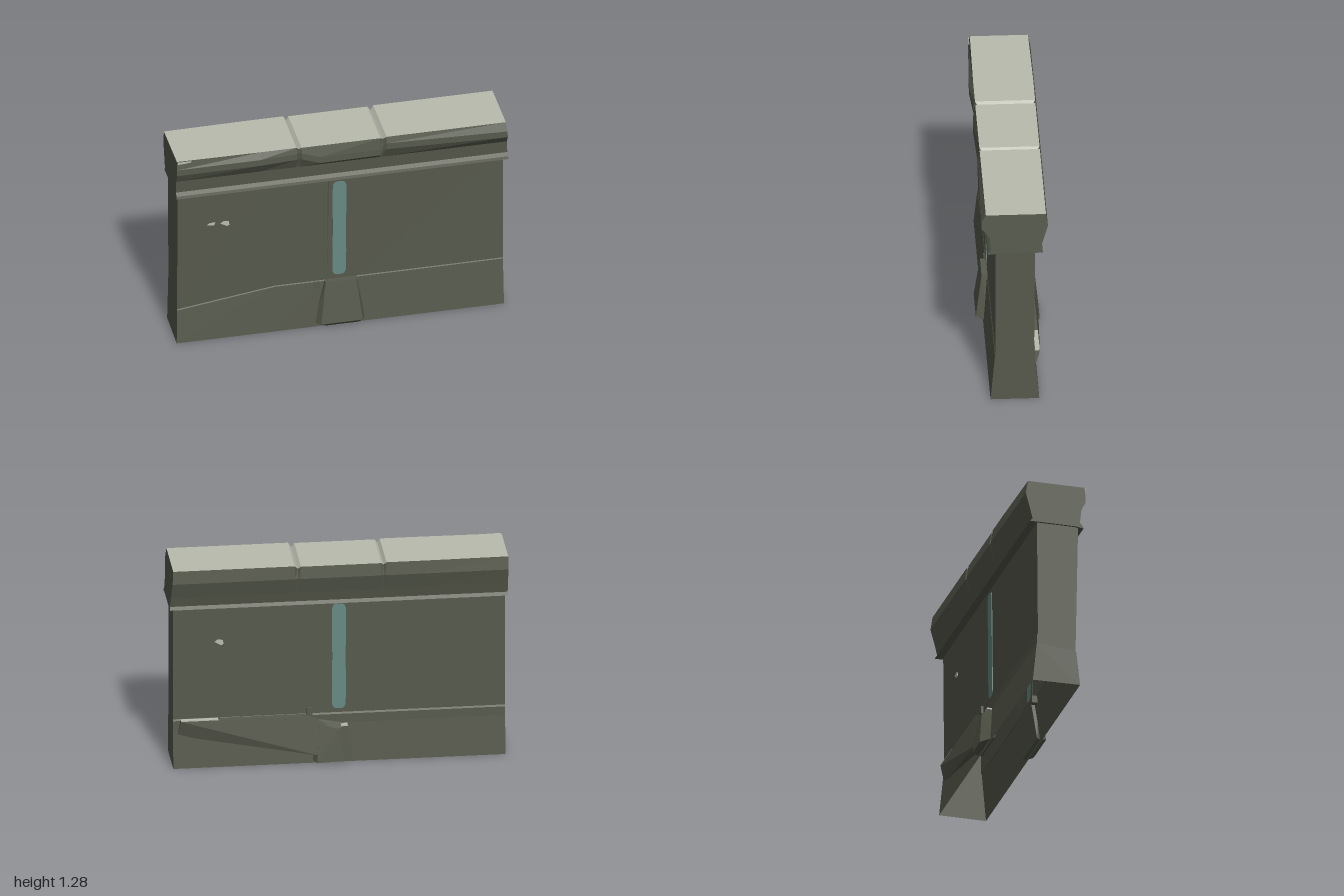
import * as THREE from 'three';
import { ConvexGeometry } from 'three/addons/geometries/ConvexGeometry.js';

const material = (name, color) => {
  const m = new THREE.MeshStandardMaterial({ color, flatShading: true, side: THREE.DoubleSide });
  m.name = name;
  return m;
};
const stone = material('darkStone', 0x575a4d);
const pale = material('paleStone', 0xbabcaf);
const glow = material('dullTealGlass', 0x688c83);

// Skins cross-sections { x, p: [[z, y, shift], ...] }, listed up the front and down the back.
// The strip after point paleEdge takes the second material; the one after openEdge is left out.
function loft(sections, { paleEdge = -1, openEdge = -1 }) {
  const pos = [];
  const g = new THREE.BufferGeometry();
  const put = (s, i) => pos.push(s.x + (s.p[i][2] || 0), s.p[i][1], s.p[i][0]);
  const n = sections[0].p.length;
  for (let i = 0; i < n; i++) {
    if (i === openEdge) continue;
    const j = (i + 1) % n, start = pos.length / 3;
    for (let k = 0; k < sections.length - 1; k++) {
      const a = sections[k], b = sections[k + 1];
      put(a, i); put(b, i); put(b, j);
      put(a, i); put(b, j); put(a, j);
    }
    g.addGroup(start, pos.length / 3 - start, i === paleEdge ? 1 : 0);
  }
  const capStart = pos.length / 3;
  const cap = (s, facesLeft) => {
    const pts = s.p.map(q => new THREE.Vector2(q[0], q[1]));
    for (const [a, b, c] of THREE.ShapeUtils.triangulateShape(pts, [])) {
      const ccw = THREE.ShapeUtils.area([pts[a], pts[b], pts[c]]) > 0;
      (ccw !== facesLeft ? [a, b, c] : [a, c, b]).forEach(i => put(s, i));
    }
  };
  cap(sections[0], false);
  cap(sections[sections.length - 1], true);
  g.addGroup(capStart, pos.length / 3 - capStart, 0);
  g.setAttribute('position', new THREE.Float32BufferAttribute(pos, 3));
  g.computeVertexNormals();
  return g;
}

const hull = pts => new ConvexGeometry(pts.map(p => new THREE.Vector3(...p)));

// Thin plate from an outline of [x, y] points
function plate(points, depth = 0.004) {
  const shape = new THREE.Shape(points.map(p => new THREE.Vector2(...p)));
  const g = new THREE.ExtrudeGeometry(shape, { depth, bevelEnabled: false });
  return g.translate(0, 0, -depth / 2);
}

export function createModel() {
  const model = new THREE.Group();
  model.name = 'stoneWall';
  const add = (name, geometry, mat = stone, at = [0, 0, 0]) => {
    const mesh = new THREE.Mesh(geometry, mat);
    mesh.name = name;
    mesh.position.set(...at);
    model.add(mesh);
    return mesh;
  };

  // Hollow wall, open below, with flared foot; the front steps back right of the seam
  const wall = (x, top, mid, ledge = 0.302) => ({
    x,
    p: [[0.142, 0, x < -0.9 ? -0.008 : 0], [mid + 0.004, ledge - 0.006], [mid, ledge], [top, 1.04],
      [-0.12, 1.04], [-0.114, 0.304], [-0.12, 0.294], [-0.121, 0.24], [-0.145, 0]],
  });
  add('wall', loft([
    wall(-0.988, 0.132, 0.116, 0.22), wall(-0.4, 0.137, 0.116), wall(-0.085, 0.14, 0.117),
    wall(-0.075, 0.127, 0.114), wall(0.1, 0.127, 0.114), wall(0.975, 0.112, 0.112),
  ], { openEdge: 8 }), [stone, pale]);

  // Overhanging coping with a pale top, pinched at two joints
  const coping = (x, drop, inset, brow = 0.19, reach = 0.195) => ({
    x,
    p: [[0.11, 1.022], [0.162, 1.014], [0.156, 1.03], [0.14, 1.05], [0.148, 1.13],
      [reach - inset, brow], [reach - inset, brow + 0.04], [0.17 - inset, 1.278 - drop],
      [-0.184 + inset, 1.278 - drop], [-0.195 + inset * 0.5, 1.2], [-0.165, 1.1],
      [-0.15, 1.04], [-0.165, 1.022], [-0.11, 1.022]].map(
      ([z, y]) => [z, y, x > 0.9 ? Math.max(0, 1.278 - y) * 0.07 : 0]),
  });
  add('coping', loft([
    coping(-1, 0, 0.006, 1.185, 0.18), coping(-0.5, 0, 0, 1.2), coping(-0.28, 0, 0, 1.2, 0.18),
    coping(-0.265, 0.02, 0.014, 1.2, 0.18), coping(-0.25, 0.004, 0, 1.2, 0.18),
    coping(-0.14, 0.004, 0, 1.165, 0.19), coping(0.225, 0.004, 0, 1.16, 0.178),
    coping(0.243, 0.022, 0.016, 1.18, 0.182), coping(0.262, 0, 0, 1.2, 0.182),
    coping(0.98, 0, 0, 1.19, 0.197),
  ], { paleEdge: 7 }), [stone, pale]);

  // Tapered foot block in the middle of the front, with a proud centre face
  add('frontButtress', hull([
    [-0.17, 0.02, 0.12], [0.145, 0.02, 0.12], [-0.1, 0.302, 0.1], [0.095, 0.302, 0.1],
    [-0.135, 0.035, 0.185], [0.115, 0.035, 0.185], [-0.1, 0.302, 0.15], [0.085, 0.302, 0.15],
    [-0.1, 0.012, 0.165], [0.09, 0.012, 0.165],
  ]));
  // Rougher foot block on the back
  add('backButtress', hull([
    [-0.12, 0.02, -0.12], [0.16, 0.02, -0.12], [-0.08, 0.24, -0.1], [0.12, 0.28, -0.1],
    [-0.03, 0.02, -0.19], [0.13, 0.015, -0.19], [0, 0.22, -0.17], [0.11, 0.25, -0.155],
  ]));
  // Broken ledge fading out along one half of the back
  add('backLedge', hull([
    [0.06, 0.24, -0.1], [0.06, 0.24, -0.155], [0.2, 0.302, -0.1], [0.2, 0.302, -0.148],
    [0.93, 0.302, -0.1], [0.93, 0.3, -0.15], [0.95, 0.2, -0.12],
    [0.1, 0.04, -0.13], [0.12, 0.06, -0.182],
  ]));

  // Wavering upright light slit with rounded ends, front and back
  const slit = [];
  const rows = [[0, 0.018], [0.012, 0.032], [0.04, 0.04], [0.25, 0.042], [0.5, 0.039],
    [0.75, 0.042], [0.96, 0.041], [0.988, 0.033], [1, 0.018]];
  for (const [t, w] of rows) slit.push([w - 0.012, t - 0.5]);
  for (const [t, w] of [...rows].reverse()) slit.push([-w - 0.012, t - 0.5]);
  const slitPlate = height => plate(slit.map(([x, y]) => [x, y * height]));
  add('frontLightSlit', slitPlate(0.65), glow, [0, 0.655, 0.1222]).rotation.x = 0.0176;
  add('backLightSlit', slitPlate(0.67), glow, [0.006, 0.665, -0.1188]).rotation.x = -0.0081;

  // Pale chips: two on the front, one turned about on the back
  const smallChip = [[-0.81, 0.79], [-0.77, 0.782], [-0.76, 0.8], [-0.79, 0.803]];
  const largeChip = [[-0.73, 0.79], [-0.69, 0.768], [-0.675, 0.775], [-0.68, 0.8], [-0.71, 0.805]];
  add('frontSmallChip', plate(smallChip), pale, [0, 0, 0.129]);
  add('frontLargeChip', plate(largeChip), pale, [0, 0, 0.1295]);
  add('backChip', plate(largeChip), pale, [0, 0, -0.1195]).rotation.y = Math.PI;
  add('copingCornerChip', plate([[-0.995, 1.262], [-0.92, 1.268], [-0.915, 1.276], [-0.995, 1.276]]),
    pale, [0, 0, 0.1725]);
  // Worn pale patches on the back ledge and foot block
  add('ledgePatch', new THREE.BoxGeometry(0.22, 0.006, 0.027), pale, [0.82, 0.303, -0.136]);
  add('footPatch', new THREE.BoxGeometry(0.04, 0.009, 0.03), pale, [-0.035, 0.232, -0.137]);

  // Small studs beside the foot blocks
  const studGeometry = new THREE.BoxGeometry(0.035, 0.045, 0.04);
  add('frontStud', studGeometry, stone, [-0.15, 0.275, 0.108]);
  add('backStud', studGeometry, stone, [0.17, 0.32, -0.11]);
  return model;
}
